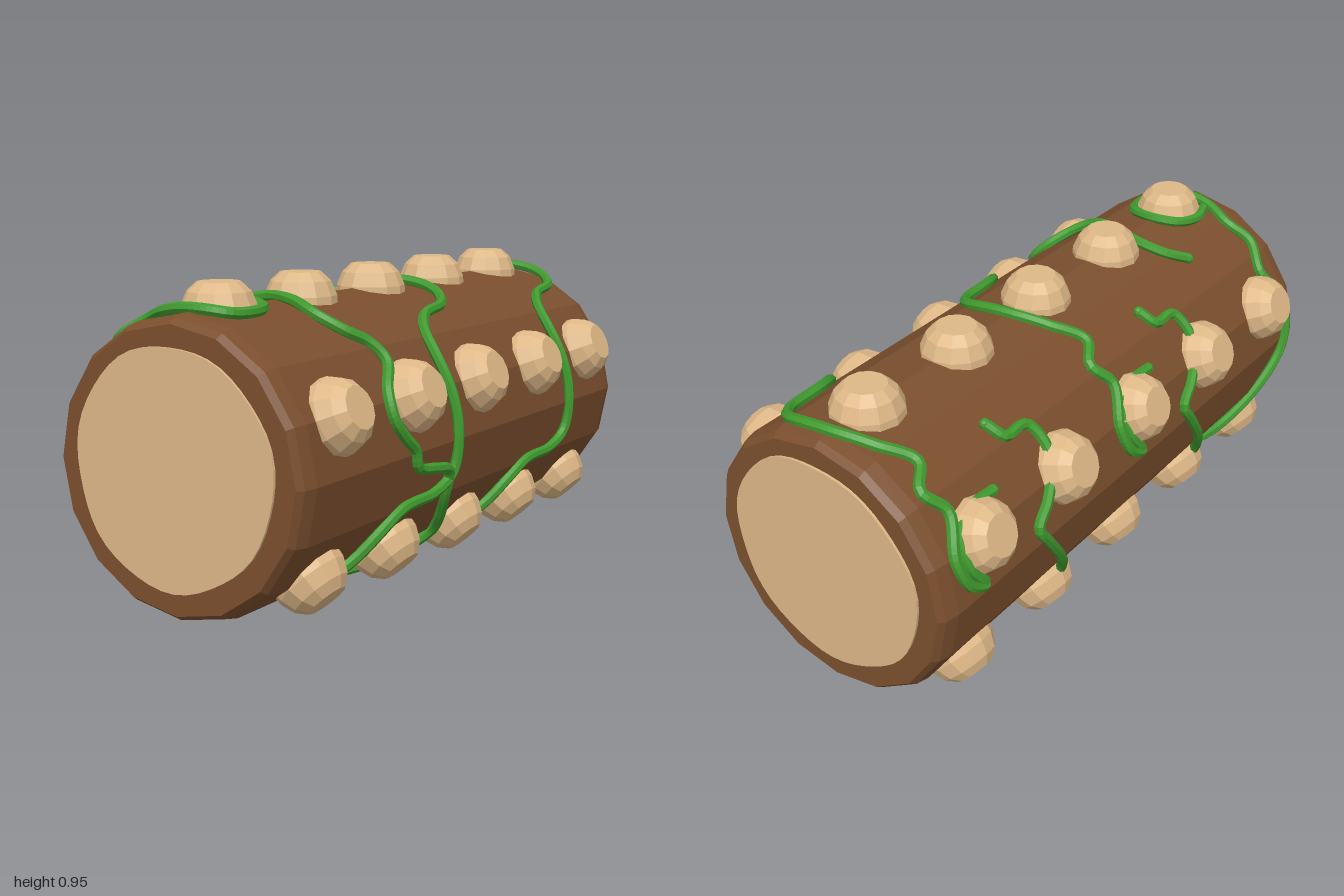
import * as THREE from 'three';

const CY = 0.46;          // height of the log axis
const LOG_R = 0.427;
const VINE_R = 0.017;
const WRAP_R = 0.436;     // distance of the vine centre line from the log axis
const RAD = Math.PI / 180;

// Split shared vertices so every facet gets its own normal
function faceted(geometry) {
  const g = geometry.index ? geometry.toNonIndexed() : geometry;
  g.computeVertexNormals();
  return g;
}

function lathe(profile, sides) {
  return faceted(new THREE.LatheGeometry(profile.map(([r, y]) => new THREE.Vector2(r, y)), sides));
}

// A curve wound round the log, from points [angle in degrees, z]
class WrapCurve extends THREE.Curve {
  constructor(points) {
    super();
    this.flat = new THREE.CatmullRomCurve3(
      points.map(([a, z]) => new THREE.Vector3(a * RAD * WRAP_R, z, 0)), false, 'centripetal');
  }
  getPoint(t, target = new THREE.Vector3()) {
    const p = this.flat.getPoint(t);
    const a = p.x / WRAP_R;
    return target.set(Math.cos(a) * WRAP_R, CY + Math.sin(a) * WRAP_R, p.y);
  }
}

// Long vine: hooks round a left knob, crosses the top, drops down the right,
// passes underneath and climbs the left side again (angles count downwards)
const LONG_VINE = [
  [146, -0.69], [146, -0.78], [151, -0.86], [164, -0.87], [175, -0.82],
  [171, -0.88], [158, -0.91], [142, -0.86], [131, -0.90], [122, -0.84],
  [107, -0.90], [90, -0.94], [70, -0.93], [60, -0.86], [55, -0.70],
  [47, -0.62], [36, -0.59], [5, -0.59], [-13, -0.57], [-19, -0.49],
  [-21, -0.31], [-29, -0.23], [-42, -0.16], [-52, -0.07], [-63, -0.12],
  [-82, -0.22], [-100, -0.36], [-118, -0.44], [-132, -0.40], [-147, -0.38],
  [-165, -0.45], [-180, -0.53], [-189, -0.57], [-197, -0.51], [-212, -0.44],
  [-226, -0.46], [-227, -0.55], [-235, -0.58]];

// Vine that crosses the top between two knob rings and winds down the right
const RIGHT_VINE = [
  [119, 0.57], [110, 0.51], [98, 0.49], [82, 0.53], [66, 0.57], [55, 0.54],
  [47, 0.48], [38, 0.46], [26, 0.53], [16, 0.54], [8, 0.50], [2, 0.45],
  [-5, 0.43], [-8, 0.33], [-11, 0.24], [-22, 0.22], [-33, 0.18],
  [-45, 0.14], [-58, 0.19], [-70, 0.27], [-82, 0.40], [-90, 0.55]];

// Vine that circles the first top knob and runs down the left front
const FRONT_VINE = [
  [103, 0.85], [105, 0.78], [101, 0.70], [90, 0.665], [78, 0.70], [75, 0.78],
  [77, 0.86], [86, 0.895], [102, 0.89], [116, 0.86], [129, 0.88],
  [143, 0.83], [155, 0.88], [168, 0.90], [185, 0.87], [202, 0.76],
  [220, 0.64], [242, 0.58], [270, 0.55]];

export function createModel() {
  const bark = new THREE.MeshStandardMaterial({ color: 0x7b4f2e });
  bark.name = 'barkBrown';
  const wood = new THREE.MeshStandardMaterial({ color: 0xdeb887 });
  wood.name = 'cutWoodTan';
  const leaf = new THREE.MeshStandardMaterial({ color: 0x409a2e });
  leaf.name = 'vineGreen';

  const model = new THREE.Group();
  model.name = 'vineCoveredLog';
  const add = (parent, name, geometry, material) => {
    const mesh = new THREE.Mesh(geometry, material);
    mesh.name = name;
    parent.add(mesh);
    return mesh;
  };

  // Log body: 16 sides with bevelled ends, lying along z
  const logShape = lathe([
    [0, -0.992], [0.403, -0.992], [0.418, -0.972], [LOG_R, -0.93],
    [LOG_R, 0.93], [0.418, 0.972], [0.403, 0.992], [0, 0.992]], 16);
  const log = add(model, 'logBody', logShape, bark);
  log.rotation.x = Math.PI / 2;
  log.position.y = CY;

  // Pale cut faces with slightly uneven rims
  const rim = [];
  for (let i = 0; i < 48; i++) {
    const a = (i / 48) * Math.PI * 2;
    const r = 0.339 + 0.004 * Math.sin(3 * a + 1) + 0.003 * Math.sin(7 * a);
    rim.push(new THREE.Vector2(Math.cos(a) * r, Math.sin(a) * r));
  }
  const cutShape = new THREE.ExtrudeGeometry(new THREE.Shape(rim), { depth: 0.009, bevelEnabled: false });
  for (const side of [1, -1]) {
    const cut = add(model, side > 0 ? 'frontCutFace' : 'backCutFace', cutShape, wood);
    cut.position.set(-0.003 * side, CY + 0.006, 0.991 * side);
    if (side < 0) cut.rotation.y = Math.PI;
  }

  // Sawn branch knobs: five rings of five
  const knobShape = lathe([
    [0.112, 0.38], [0.109, 0.43], [0.091, 0.473], [0.062, 0.5], [0, 0.5]], 12);
  const knobs = new THREE.Group();
  knobs.name = 'branchKnobs';
  model.add(knobs);
  for (let ring = -2; ring <= 2; ring++) {
    for (const angle of [90, 22.5, -45, 157.5, 225]) {
      const knob = add(knobs, 'branchKnob', knobShape, wood);
      knob.position.set(0, CY, ring * 0.39);
      knob.rotation.z = (angle - 90) * RAD;
    }
  }

  // Vines with rounded tips
  const tip = faceted(new THREE.SphereGeometry(VINE_R, 8, 6));
  const addVine = (name, points, shift = 0) => {
    const vine = new THREE.Group();
    vine.name = name;
    model.add(vine);
    const curve = new WrapCurve(points.map(([a, z]) => [a, z + shift]));
    add(vine, 'vineStem', faceted(new THREE.TubeGeometry(curve, points.length * 7, VINE_R, 7)), leaf);
    for (const t of [0, 1]) add(vine, 'vineTip', tip, leaf).position.copy(curve.getPoint(t));
  };
  addVine('backLongVine', LONG_VINE);
  addVine('middleLongVine', LONG_VINE, 0.785);
  addVine('rightVine', RIGHT_VINE);
  addVine('frontVine', FRONT_VINE);

  return model;
}
